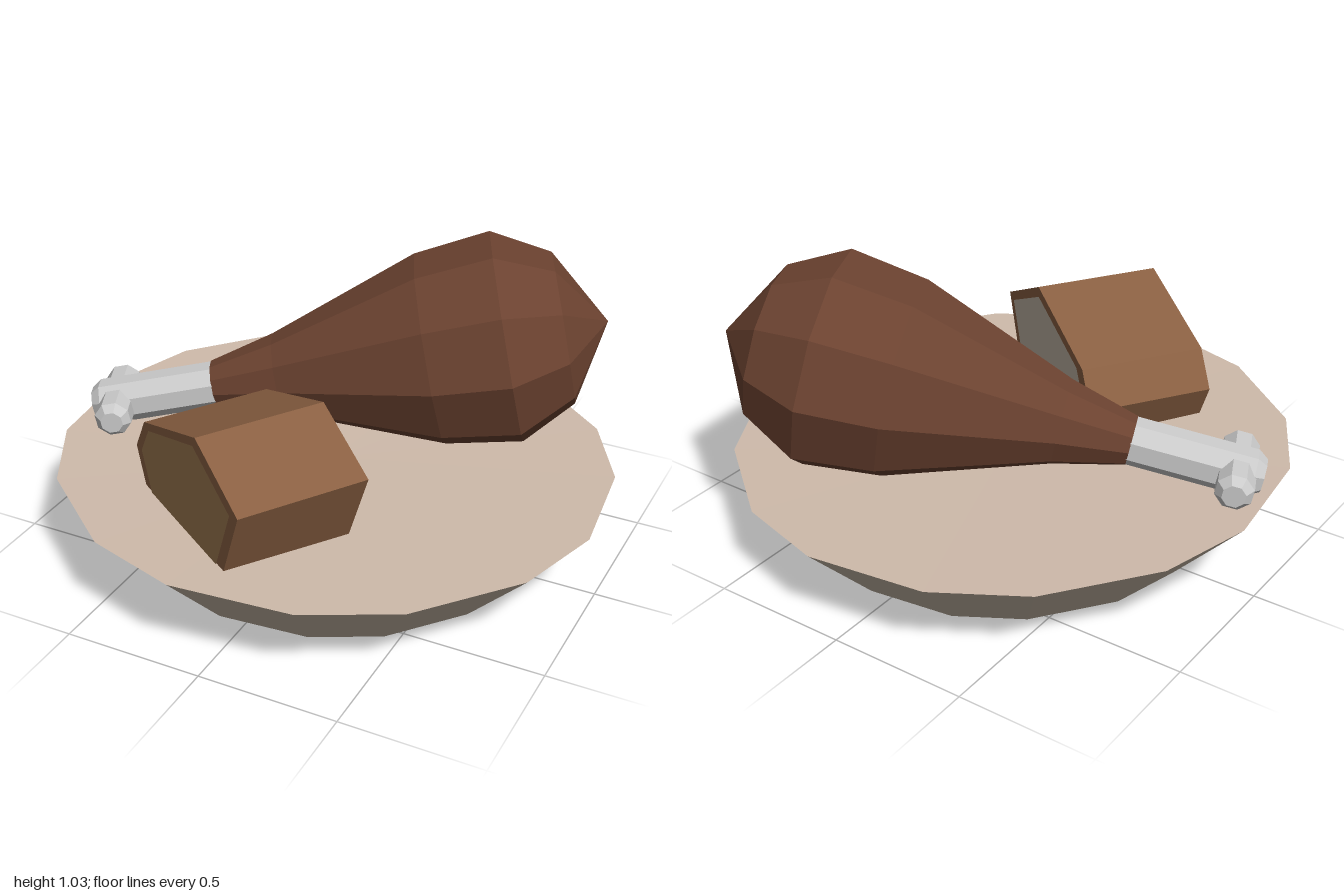
import * as THREE from 'three';

const mat = (color) => new THREE.MeshStandardMaterial({ color, flatShading: true });
const pts = (list) => list.map(([x, y]) => new THREE.Vector2(x, y));

function addMesh(parent, name, geometry, material) {
  const mesh = new THREE.Mesh(geometry, material);
  mesh.name = name;
  parent.add(mesh);
  return mesh;
}

// Sixteen-sided dish surface with uneven facets and a slight tilt
function dishGeometry(profile) {
  const steps = [19, 39, 64, 84];
  const geo = new THREE.LatheGeometry(pts(profile), 16);
  const pos = geo.attributes.position;
  for (let i = 0; i < pos.count; i++) {
    const k = Math.floor(i / profile.length) % 16;
    const [r, y] = profile[i % profile.length];
    const a = THREE.MathUtils.degToRad(steps[k % 4] + 90 * Math.floor(k / 4));
    const x = r * Math.sin(a), z = r * Math.cos(a);
    pos.setXYZ(i, x, y + 0.0177 + 0.0175 * (z - x), z);
  }
  geo.computeVertexNormals();
  return geo;
}

function createBowl() {
  const bowl = new THREE.Group();
  bowl.name = 'bowl';
  addMesh(bowl, 'bowlOutside', dishGeometry([[0, 0], [0.73, 0], [1, 0.285]]), mat(0xc4b6a5));
  addMesh(bowl, 'bowlTop', dishGeometry([[1, 0.285], [0, 0.268]]), mat(0xcfbbab));
  return bowl;
}

// Leg of meat along local y, laid on the bowl with the thick end raised
function createDrumstick() {
  const leg = new THREE.Group();
  leg.name = 'drumstick';

  const meat = [[0, 0], [0.088, 0], [0.152, 0.245], [0.355, 0.806], [0.39, 1.086], [0.28, 1.292], [0, 1.453]];
  addMesh(leg, 'meat', new THREE.LatheGeometry(pts(meat), 10), mat(0x6b4230));

  const boneMat = mat(0xcccccc);
  const bone = [[0, -0.46], [0.06, -0.46], [0.085, -0.425], [0.085, 0.02]];
  addMesh(leg, 'boneShaft', new THREE.LatheGeometry(pts(bone), 8, Math.PI / 8), boneMat);

  // Pair of knuckles at the end of the bone
  for (const side of [1, -1]) {
    const profile = [[0.068, 0], [0.068, 0.15], [0.042, 0.18], [0, 0.18]];
    const knob = addMesh(leg, 'boneKnuckle', new THREE.LatheGeometry(pts(profile), 8, Math.PI / 8), boneMat);
    knob.position.y = -0.37;
    knob.rotation.x = side * Math.PI / 2;
  }

  const along = new THREE.Vector3(0.91, 0.2, -0.41).normalize();
  const across = new THREE.Vector3(-0.41, 0, -0.91).normalize();
  const up = new THREE.Vector3().crossVectors(along, across);
  leg.quaternion.setFromRotationMatrix(new THREE.Matrix4().makeBasis(up, along, across));
  leg.position.set(-0.51, 0.455, -0.02);
  return leg;
}

// Cut loaf: a six-cornered prism with an inset crumb face on each end
function createBread() {
  const bread = new THREE.Group();
  bread.name = 'bread';
  const depth = 0.47;
  const outline = [[0.08, 0.28], [0.65, 0.28], [0.78, 0.575], [0.49, 0.72], [0.08, 0.575], [0, 0.445]];
  const crust = new THREE.ExtrudeGeometry(new THREE.Shape(pts(outline)), { depth, bevelEnabled: false });
  addMesh(bread, 'breadCrust', crust, mat(0x8a6042));

  const inner = outline.map(([x, y]) => [0.4 + (x - 0.4) * 0.87, 0.49 + (y - 0.49) * 0.85]);
  const face = new THREE.ShapeGeometry(new THREE.Shape(pts(inner)));
  const front = addMesh(bread, 'breadFrontFace', face, mat(0x9c7850));
  front.position.z = depth + 0.004;
  const backMat = mat(0xc0b4a4);
  backMat.side = THREE.DoubleSide;
  const back = addMesh(bread, 'breadBackFace', face, backMat);
  back.position.z = -0.004;

  bread.rotation.y = -0.586;
  bread.position.set(-0.28, 0, 0.08);
  return bread;
}

export function createModel() {
  const model = new THREE.Group();
  model.name = 'mealBowl';
  model.add(createBowl(), createDrumstick(), createBread());
  return model;
}
